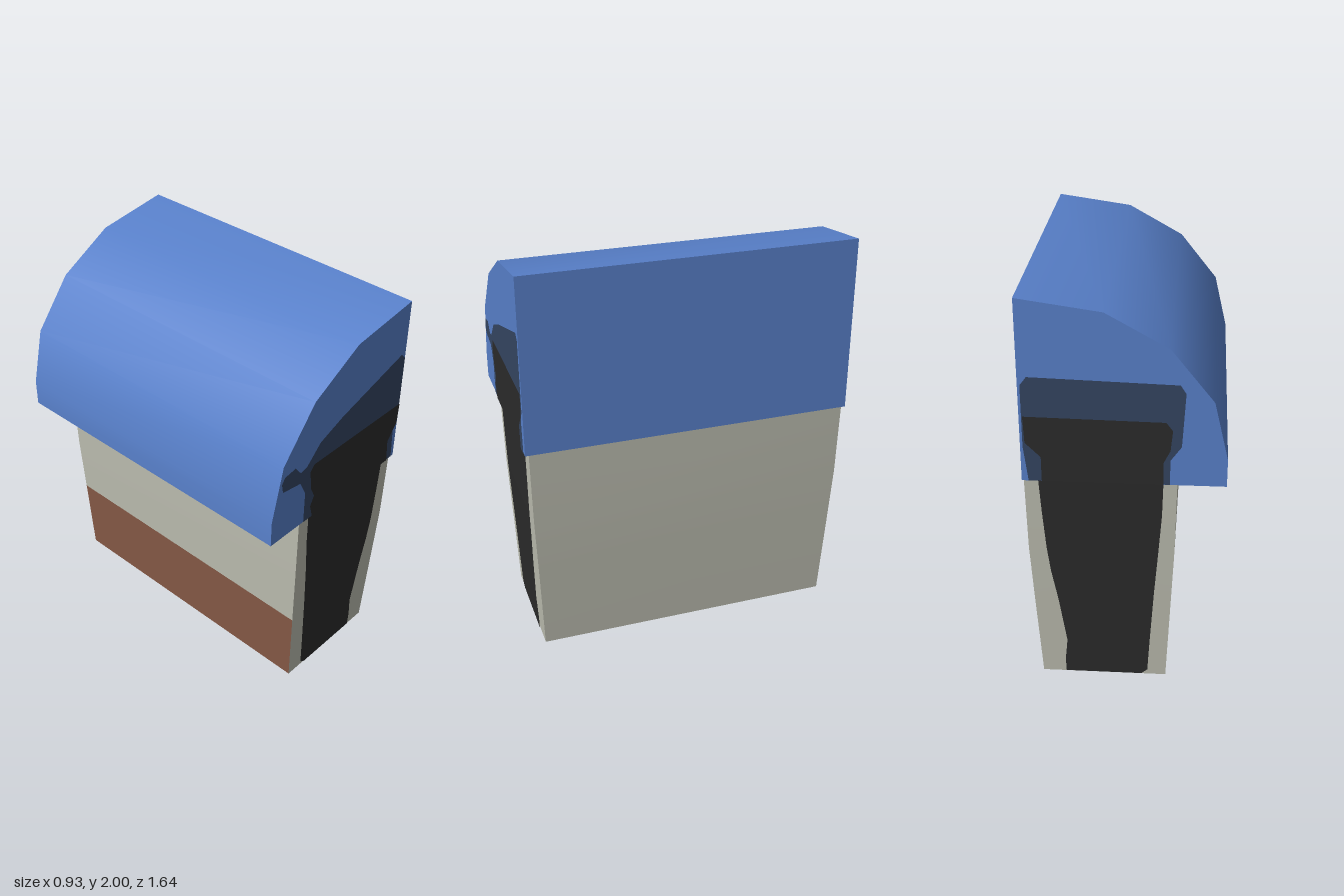
import * as THREE from 'three';
import { toCreasedNormals } from 'three/addons/utils/BufferGeometryUtils.js';

const material = (name, color) => {
  const m = new THREE.MeshStandardMaterial({ color, side: THREE.DoubleSide });
  m.name = name;
  return m;
};

export function createModel() {
  const model = new THREE.Group();
  const blue = material('blue', 0x5880ca);
  const slate = material('dark slate', 0x344562);
  const black = material('black', 0x2b2b2b);
  const beige = material('beige', 0xbcbdb0);
  const brown = material('brown', 0x865946);

  const add = (name, geometry, mat) => {
    const mesh = new THREE.Mesh(geometry, mat);
    mesh.name = name;
    model.add(mesh);
  };

  // Open shell from four-cornered faces, smooth over shallow angles
  const addQuads = (name, quads, mat) => {
    const positions = quads.flatMap(([a, b, c, d]) => [a, b, c, a, c, d].flat());
    const geometry = new THREE.BufferGeometry();
    geometry.setAttribute('position', new THREE.Float32BufferAttribute(positions, 3));
    geometry.computeVertexNormals();
    add(name, toCreasedNormals(geometry, 0.7), mat);
  };

  // Flat outline set at a depth that depends on height
  const addPlate = (name, points, mat, depth) => {
    const geometry = new THREE.ShapeGeometry(
      new THREE.Shape(points.map(([x, y]) => new THREE.Vector2(x, y))));
    const p = geometry.attributes.position;
    for (let i = 0; i < p.count; i++) p.setZ(i, depth(p.getY(i)));
    geometry.computeVertexNormals();
    add(name, geometry, mat);
  };

  // Tapered body, open at the bottom: y, left x, right x, half depth
  const levels = [
    [0, -0.20, 0.41, 0.76],
    [0.43, -0.22, 0.434, 0.777],
    [0.75, -0.235, 0.45, 0.79],
    [1.125, -0.243, 0.456, 0.797],
  ];
  const ring = ([y, x0, x1, z]) => [[x0, y, z], [x1, y, z], [x1, y, -z], [x0, y, -z]];
  const walls = [], band = [];
  for (let k = 0; k < 3; k++) {
    const lo = ring(levels[k]), up = ring(levels[k + 1]);
    for (let i = 0; i < 4; i++) {
      const j = (i + 1) % 4;
      (k === 0 && i === 3 ? band : walls).push([lo[i], lo[j], up[j], up[i]]);
    }
  }
  addQuads('bodyWalls', walls, beige);
  addQuads('lowerSidePanel', band, brown);
  const bodyDepth = (y) => y < 0.75 ? 0.76 + 0.04 * y : 0.79 + (y - 0.75) * 0.0187;

  // Hood with a curved roof and open underside
  const hood = [[0.462, 1.125], [0.462, 2], [0.08, 1.945], [-0.205, 1.785],
    [-0.40, 1.54], [-0.465, 1.26], [-0.465, 1.125]];
  const hoodZ = 0.815;
  const roof = hood.slice(1).map(([x, y], i) => {
    const [px, py] = hood[i];
    return [[px, py, hoodZ], [px, py, -hoodZ], [x, y, -hoodZ], [x, y, hoodZ]];
  });
  addQuads('hoodRoof', roof, blue);

  // Dark end openings on the body, split where the wall bends
  const lowerOpening = [[-0.08, 0.004], [0.295, 0.004], [0.297, 0.08], [0.285, 0.2],
    [0.32, 0.45], [0.35, 0.62], [0.365, 0.75], [-0.16, 0.75], [-0.14, 0.5],
    [-0.12, 0.2], [-0.11, 0.03]];
  const upperOpening = [[-0.16, 0.75], [0.365, 0.75], [0.38, 0.95], [0.39, 1.125],
    [-0.18, 1.125], [-0.175, 0.95]];

  // Painted shapes on the hood ends
  const frontShade = [[-0.24, 1.127], [0.44, 1.127], [0.43, 1.3], [0.458, 1.35],
    [0.458, 1.7], [0.43, 1.73], [0, 1.6], [-0.15, 1.54], [-0.24, 1.45], [-0.28, 1.44],
    [-0.32, 1.49], [-0.39, 1.48], [-0.41, 1.45], [-0.40, 1.40], [-0.28, 1.38], [-0.24, 1.3]];
  const frontOpening = [[-0.18, 1.127], [0.40, 1.127], [0.39, 1.25], [0.45, 1.33],
    [0.457, 1.44], [-0.19, 1.44], [-0.215, 1.41], [-0.2, 1.3], [-0.175, 1.25], [-0.2, 1.2]];
  const backShade = [[-0.21, 1.127], [0.43, 1.127], [0.45, 1.3], [0.45, 1.6],
    [0.42, 1.64], [-0.25, 1.62], [-0.275, 1.58], [-0.26, 1.32], [-0.21, 1.25]];
  const backOpening = [[-0.18, 1.127], [0.37, 1.127], [0.37, 1.25], [0.44, 1.32],
    [0.445, 1.45], [-0.19, 1.44], [-0.22, 1.4], [-0.21, 1.3], [-0.18, 1.24]];

  for (const side of [1, -1]) {
    const end = side > 0 ? 'front' : 'back';
    addPlate(end + 'HoodEnd', hood, blue, () => side * hoodZ);
    // Outside and inside faces of each end
    for (const face of [1, -1]) {
      const where = end + (face > 0 ? 'Outer' : 'Inner');
      const onBody = (y) => side * (bodyDepth(y) + face * 0.004);
      addPlate(where + 'LowerOpening', lowerOpening, black, onBody);
      addPlate(where + 'UpperOpening', upperOpening, black, onBody);
      addPlate(where + 'HoodShade', side > 0 ? frontShade : backShade, slate,
        () => side * (hoodZ + face * 0.003));
      addPlate(where + 'HoodOpening', side > 0 ? frontOpening : backOpening, black,
        () => side * (hoodZ + face * 0.006));
    }
  }
  return model;
}
